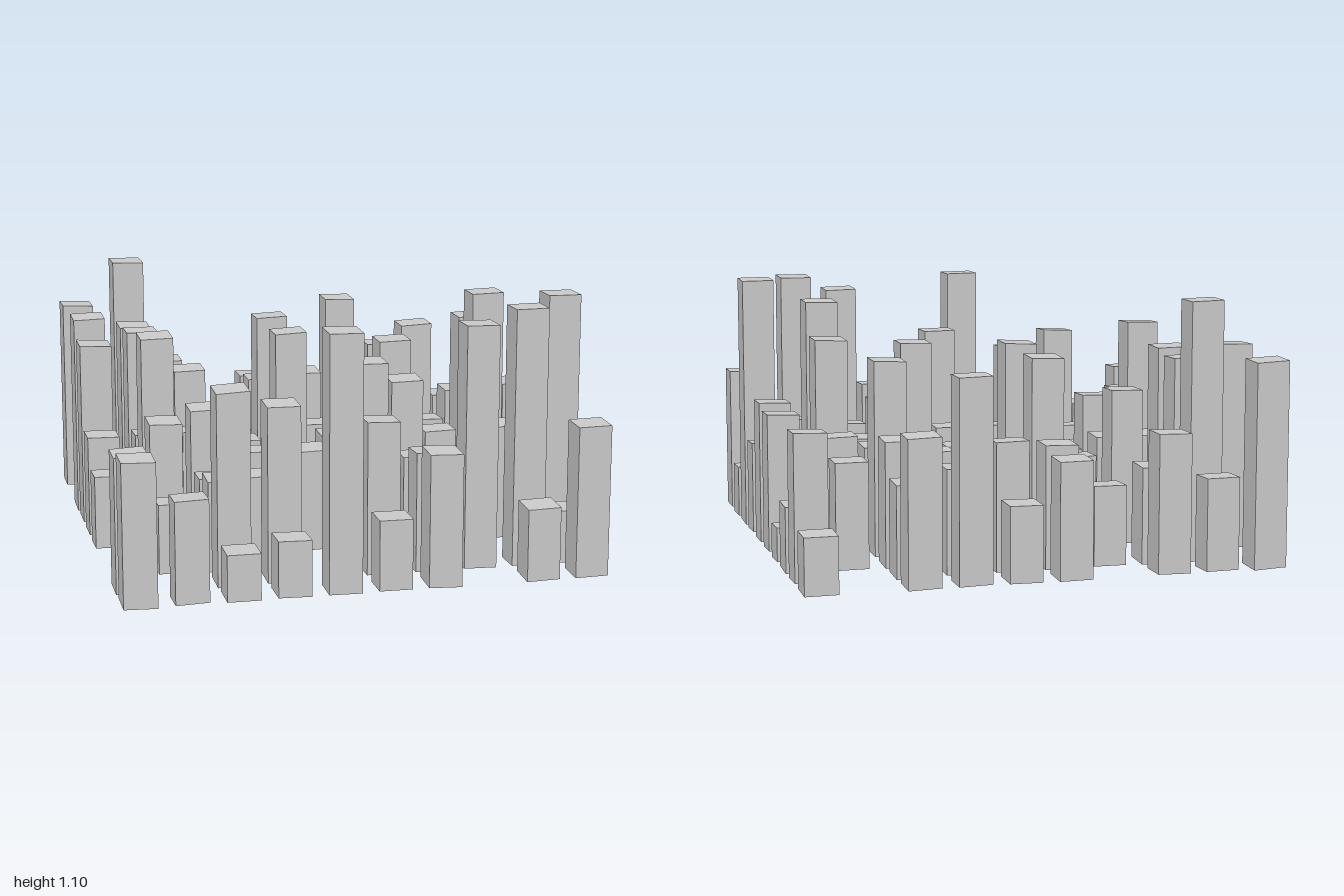
import * as THREE from 'three';

// Tower top heights: rows run back to front, columns from -x to +x; 0 is an empty plot
const HEIGHTS = [
  [0.87, 0.40, 0.59, 0, 0.50, 0.33, 0.85, 0.62, 0, 0.25],
  [0, 1.10, 0.42, 0.35, 0.53, 0.55, 0.45, 0.40, 0, 0.62],
  [0.89, 0.84, 0, 0, 0.86, 0.35, 0.40, 0.54, 0.46, 0.29],
  [0.81, 0.86, 0.68, 0.40, 0.35, 0, 0.45, 0.84, 0.53, 0.16],
  [0.45, 0.45, 0.45, 0.40, 0.87, 0.40, 0, 0.45, 0.91, 0.60],
  [0.33, 0.92, 0.60, 0.40, 0, 0.40, 0.86, 0.45, 1.05, 0.62],
  [0, 0.60, 0.35, 0.35, 0.45, 0.45, 0.73, 0.40, 0.51, 0.41],
  [0, 0.31, 0.40, 0, 0, 0.86, 0.45, 0.45, 0, 1.11],
  [0.58, 0, 0.82, 0.75, 0, 0.66, 0.52, 1.04, 1.10, 0.24],
  [0.61, 0.44, 0.21, 0.25, 1.08, 0.31, 0.57, 0, 0.32, 0.65],
];
const WIDTH = 0.138;
const STEP = (2 - WIDTH) / 9;
const BASE = 0.016;

// Small seeded generator, -1 to 1
function seeded(seed) {
  let s = seed;
  return () => {
    s = (s * 16807) % 2147483647;
    return (s / 2147483647) * 2 - 1;
  };
}

// Square tower whose roof and underside lean very slightly
function towerGeometry(height, rand) {
  const geo = new THREE.BoxGeometry(WIDTH, height - BASE, WIDTH);
  geo.translate(0, (height + BASE) / 2, 0);
  const pos = geo.attributes.position;
  const tiltX = rand() * 0.05, tiltZ = rand() * 0.05;
  for (let i = 0; i < pos.count; i++) {
    pos.setY(i, pos.getY(i) + tiltX * pos.getX(i) + tiltZ * pos.getZ(i));
  }
  geo.computeVertexNormals();
  return geo;
}

export function createModel() {
  const city = new THREE.Group();
  city.name = 'cityBlocks';
  const material = new THREE.MeshStandardMaterial({ color: 0xcccccc, flatShading: true });
  const rand = seeded(4217);

  HEIGHTS.forEach((row, r) => {
    const street = new THREE.Group();
    street.name = `towerRow${r + 1}`;
    street.position.z = (r - 4.5) * STEP;
    row.forEach((height, c) => {
      if (!height) return;
      const tower = new THREE.Mesh(towerGeometry(height, rand), material);
      tower.name = `tower${r + 1}_${c + 1}`;
      tower.position.x = (c - 4.5) * STEP;
      street.add(tower);
    });
    city.add(street);
  });
  return city;
}
